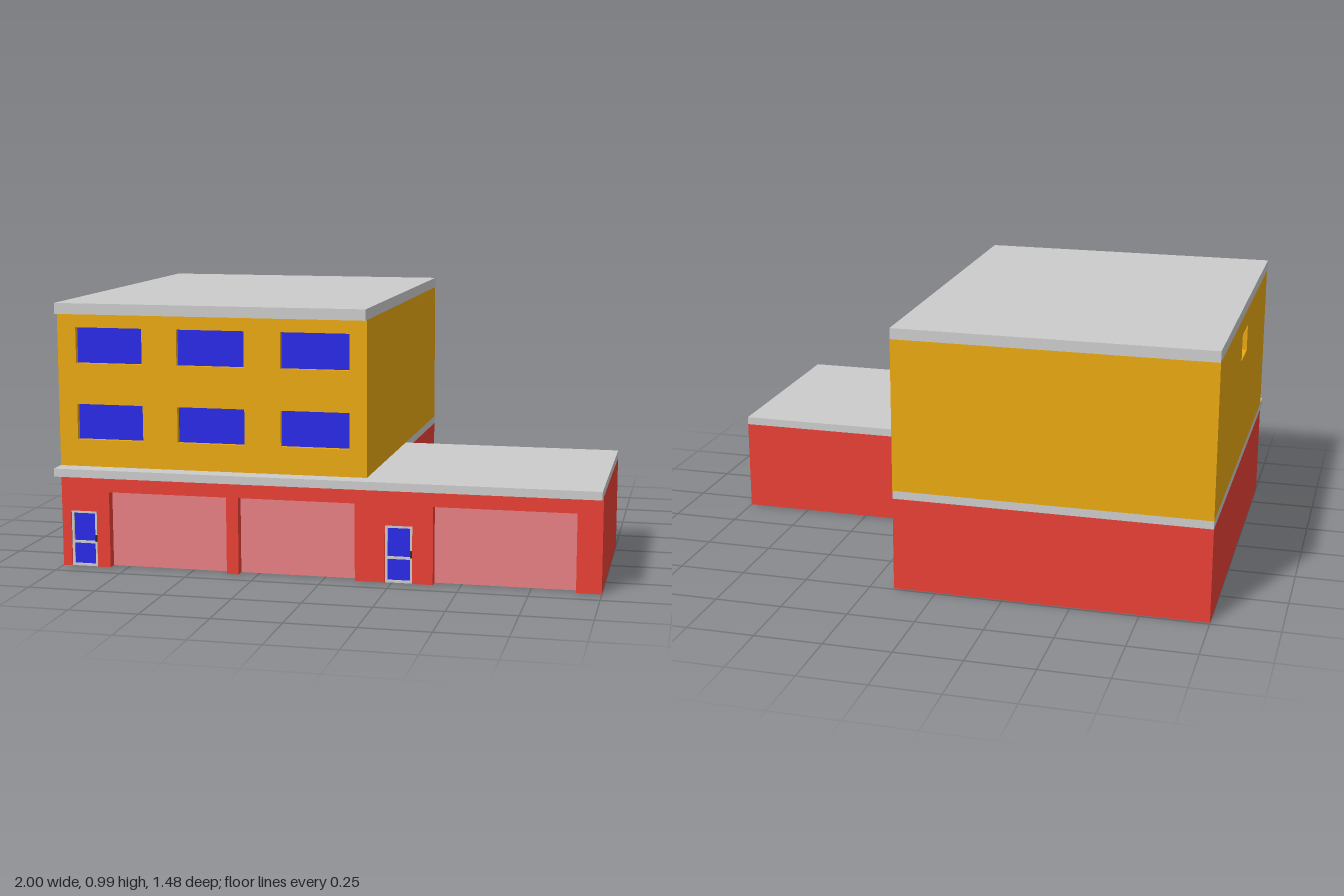
import * as THREE from 'three';

const mat = (color) => new THREE.MeshStandardMaterial({ color, side: THREE.DoubleSide });
const grey = mat(0xcccccc), red = mat(0xe84035), yellow = mat(0xe8a812);
const blue = mat(0x2a2ae8), pink = mat(0xe88085), dark = mat(0x333333);

function add(parent, name, geometry, material, x = 0, y = 0, z = 0) {
  const mesh = new THREE.Mesh(geometry, material);
  mesh.name = name;
  mesh.position.set(x, y, z);
  parent.add(mesh);
  return mesh;
}

// Box given by its limits on each axis
function box(parent, name, material, [x0, x1], [y0, y1], [z0, z1]) {
  return add(parent, name, new THREE.BoxGeometry(x1 - x0, y1 - y0, z1 - z0), material,
    (x0 + x1) / 2, (y0 + y1) / 2, (z0 + z1) / 2);
}

// Flat sheet facing local +z, given by its limits
function sheet(parent, name, material, [x0, x1], [y0, y1], z = 0) {
  return add(parent, name, new THREE.PlaneGeometry(x1 - x0, y1 - y0), material,
    (x0 + x1) / 2, (y0 + y1) / 2, z);
}

// Thin wall with recessed openings; those starting at the base become notches
function wall(name, material, [x0, x1], [y0, y1], openings = []) {
  const group = new THREE.Group();
  group.name = name;
  const shape = new THREE.Shape();
  shape.moveTo(x0, y0);
  for (const { x: [a, b], y: [c, d] } of openings) {
    if (c === y0) {
      [[a, c], [a, d], [b, d], [b, c]].forEach((p) => shape.lineTo(...p));
    } else {
      const hole = new THREE.Path();
      hole.moveTo(a, c).lineTo(a, d).lineTo(b, d).lineTo(b, c).closePath();
      shape.holes.push(hole);
    }
  }
  shape.lineTo(x1, y0).lineTo(x1, y1).lineTo(x0, y1).closePath();
  add(group, name + 'Face', new THREE.ShapeGeometry(shape), material);

  for (const { name: part, x, y, depth, panel } of openings) {
    sheet(group, part, panel, x, y, -depth);
    const w = x[1] - x[0], h = y[1] - y[0];
    for (const side of x) {
      add(group, part + 'Jamb', new THREE.PlaneGeometry(depth, h), material,
        side, (y[0] + y[1]) / 2, -depth / 2).rotation.y = side === x[0] ? Math.PI / 2 : -Math.PI / 2;
    }
    for (const level of y) {
      if (level === y0) continue;
      add(group, part + 'Reveal', new THREE.PlaneGeometry(w, depth), material,
        (x[0] + x[1]) / 2, level, -depth / 2).rotation.x = level === y[1] ? Math.PI / 2 : -Math.PI / 2;
    }
  }
  return group;
}

// Entrance door: blue panes in a pale frame with a handle
function door(x0, z) {
  const group = new THREE.Group(), x1 = x0 + 0.1, top = 0.21, t = 0.009;
  group.name = 'entranceDoor';
  sheet(group, 'doorPanes', blue, [x0, x1], [0, top], z - 0.01);
  const depth = [z - 0.014, z - 0.004];
  for (const x of [x0, x1 - t]) box(group, 'doorStile', grey, [x, x + t], [0, top], depth);
  for (const y of [0, 0.087, top - t]) box(group, 'doorRail', grey, [x0 + t, x1 - t], [y, y + t], depth);
  box(group, 'doorHandle', dark, [x1 - 0.007, x1 - 0.001], [0.095, 0.12], [z - 0.004, z + 0.004]);
  return group;
}

export function createModel() {
  const model = new THREE.Group();
  model.name = 'building';
  const front = 0.67, back = -0.74, wingBack = -0.07, step = 0.16;
  const ground = [0, 0.35], band = [0.35, 0.38], upper = [0.38, 0.945];

  // Ground floor front with garage bays and doors, in order from -x to +x
  const bay = (x) => ({ name: 'garageDoor', x, y: [0, 0.285], depth: 0.035, panel: pink });
  const pocket = (x) => ({ name: 'doorPocket', x: [x, x + 0.1], y: [0, 0.21], depth: 0.02, panel: red });
  const groundFront = wall('groundFrontWall', red, [-1, 1], ground, [
    pocket(-0.965), bay([-0.815, -0.365]), bay([-0.32, 0.115]), pocket(0.225), bay([0.4, 0.91]),
  ]);
  groundFront.position.z = front;
  model.add(groundFront, door(-0.965, front), door(0.225, front));

  // Upper front with two rows of three windows
  const windowAt = (x, y) => ({ name: 'window', x, y, depth: 0.02, panel: blue });
  const windows = [];
  for (const y of [[0.48, 0.612], [0.763, 0.895]]) {
    for (const x of [-0.93, -0.545, -0.157]) windows.push(windowAt([x, x + 0.253], y));
  }
  const upperFront = wall('upperFrontWall', yellow, [-1, step], upper, windows);
  upperFront.position.z = front;
  model.add(upperFront);

  // Side and back walls of the main block: red base, grey band, yellow upper storeys
  const sideWindow = windowAt([-0.12, 0.04], [0.78, 0.88]);
  const layers = [['ground', red, ground], ['band', grey, band], ['upper', yellow, upper]];
  for (const [level, material, y] of layers) {
    const backWall = wall(level + 'BackWall', material, [-step, 1], y);
    backWall.rotation.y = Math.PI;
    backWall.position.z = back;
    const windowSide = wall(level + 'WindowSideWall', material, [back, front], y,
      level === 'upper' ? [sideWindow] : []);
    windowSide.rotation.y = -Math.PI / 2;
    windowSide.position.x = -1;
    const wingSide = wall(level + 'WingSideWall', material, [-front, -back], y);
    wingSide.rotation.y = Math.PI / 2;
    wingSide.position.x = step;
    model.add(backWall, windowSide, wingSide);
  }

  // Low wing outer walls
  const wingBackWall = wall('wingBackWall', red, [-1, -step], ground);
  wingBackWall.rotation.y = Math.PI;
  wingBackWall.position.z = wingBack;
  const wingEnd = wall('wingEndWall', red, [-front, -wingBack], ground);
  wingEnd.rotation.y = Math.PI / 2;
  wingEnd.position.x = 1;
  model.add(wingBackWall, wingEnd);

  // Flat roofs and the canopy along the front
  box(model, 'mainRoof', grey, [-1, step], [0.945, 0.985], [back, 0.695]);
  box(model, 'wingRoof', grey, [step, 1], band, [wingBack, 0.74]);
  box(model, 'frontCanopy', grey, [-1, step], band, [0.64, 0.74]);
  return model;
}
